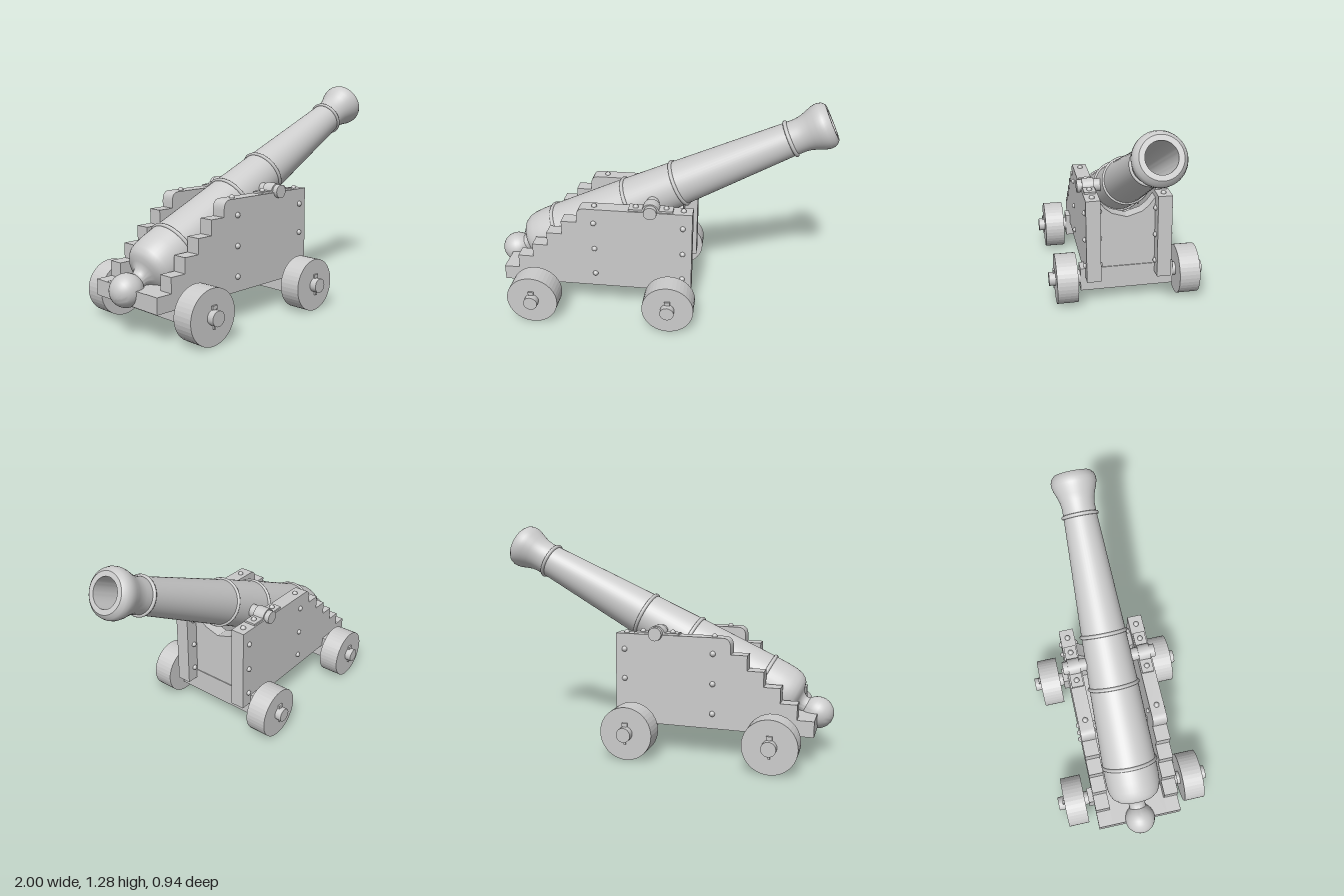
import * as THREE from 'three';
import { toCreasedNormals } from 'three/addons/utils/BufferGeometryUtils.js';

const material = new THREE.MeshStandardMaterial({ color: 0xcccccc });
const flat = new THREE.MeshStandardMaterial({ color: 0xcccccc, flatShading: true });

function add(parent, name, geometry, x = 0, y = 0, z = 0, mat = material) {
  const mesh = new THREE.Mesh(geometry, mat);
  mesh.name = name;
  mesh.position.set(x, y, z);
  parent.add(mesh);
  return mesh;
}

// Cylinder lying along z
const rod = (r, length, sides) => new THREE.CylinderGeometry(r, r, length, sides).rotateX(Math.PI / 2);

// Outline in the xy plane, extruded from z0 by depth
function slab(shape, z0, depth) {
  const g = new THREE.ExtrudeGeometry(shape, { depth, bevelEnabled: false, curveSegments: 6 });
  return toCreasedNormals(g.translate(0, 0, z0), 0.5);
}

function makeBarrel() {
  const barrel = new THREE.Group();
  barrel.name = 'barrel';
  const points = [];
  // Rear knob
  for (let i = 0; i <= 12; i++) {
    const a = (i / 12) * 2.55;
    points.push([0.09 * Math.sin(a), -0.99 - 0.09 * Math.cos(a)]);
  }
  // Neck, breech, tapering tube, flared muzzle and bore
  points.push(
    [0.048, -0.895], [0.06, -0.875], [0.09, -0.86], [0.118, -0.852], [0.138, -0.835],
    [0.152, -0.81], [0.16, -0.775], [0.163, -0.72], [0.162, -0.63], [0.146, -0.155],
    [0.132, 0.157], [0.097, 0.85], [0.096, 0.9], [0.1, 0.935], [0.111, 0.97], [0.125, 1.005],
    [0.131, 1.03], [0.131, 1.05], [0.124, 1.072], [0.105, 1.09], [0.078, 1.09], [0.078, 0.2], [0, 0.2]
  );
  points[0][0] = 0;
  const profile = points.map(([r, s]) => new THREE.Vector2(r, s));
  add(barrel, 'tube', toCreasedNormals(new THREE.LatheGeometry(profile, 48), 0.7));
  // Reinforcing rings
  for (const [s, r] of [[-0.634, 0.161], [-0.155, 0.146], [0.157, 0.132], [0.85, 0.098]]) {
    add(barrel, 'ring', new THREE.TorusGeometry(r, 0.011, 8, 48).rotateX(Math.PI / 2), 0, s);
  }
  barrel.position.set(-0.03, 0.69, 0);
  barrel.rotation.z = THREE.MathUtils.degToRad(26.7) - Math.PI / 2;
  return barrel;
}

function cheekShape() {
  const s = new THREE.Shape();
  s.moveTo(-0.92, 0.17);
  s.lineTo(0.21, 0.17);
  s.lineTo(0.21, 0.685);
  s.lineTo(-0.415, 0.685);
  s.quadraticCurveTo(-0.46, 0.685, -0.46, 0.63);
  // Steps down to the rear
  for (let i = 0; i < 5; i++) {
    const y = 0.595 - i * 0.084;
    s.lineTo(-0.46 - i * 0.092, y);
    s.lineTo(-0.46 - (i + 1) * 0.092, y);
  }
  s.closePath();
  return s;
}

// Half-round strap over the trunnion
function capShape() {
  const s = new THREE.Shape();
  s.moveTo(0.05, 0);
  s.absarc(0, 0, 0.05, 0, Math.PI, false);
  s.lineTo(-0.036, 0);
  s.absarc(0, 0, 0.036, Math.PI, 0, true);
  s.closePath();
  return s;
}

export function createModel() {
  const model = new THREE.Group();
  model.name = 'cannon';
  model.add(makeBarrel());
  add(model, 'trunnion', rod(0.038, 0.55, 24), -0.03, 0.69, 0);

  const bolt = new THREE.SphereGeometry(0.016, 12, 8);
  for (const side of [1, -1]) {
    // Stepped side cheek
    add(model, 'cheek', slab(cheekShape(), side > 0 ? 0.168 : -0.253, 0.085));

    // Trunnion strap with its two feet
    add(model, 'trunnionCap', slab(capShape(), -0.035, 0.07), -0.03, 0.685, side * 0.21);
    for (const x of [-0.118, 0.058]) {
      add(model, 'capFoot', new THREE.BoxGeometry(0.08, 0.012, 0.07), x, 0.69, side * 0.21);
      add(model, 'capBolt', bolt, x, 0.697, side * 0.21);
    }

    // Cheek bolts
    for (const x of [-0.36, 0.157]) {
      add(model, 'topBolt', bolt, x, 0.686, side * 0.21);
      for (const y of [0.595, 0.425, 0.255]) {
        for (const z of [0.168, 0.253]) add(model, 'sideBolt', bolt, x, y, side * z);
      }
    }
  }

  // Floor between the cheeks
  add(model, 'floor', new THREE.BoxGeometry(1.05, 0.088, 0.336), -0.395, 0.214, 0);

  // Front crosspiece with a hollow for the barrel
  const t = new THREE.Shape();
  const hollow = [[0.168, 0.65], [0.13, 0.6], [0.09, 0.568], [0, 0.54], [-0.09, 0.568], [-0.13, 0.6], [-0.168, 0.65]];
  t.moveTo(-0.168, 0.17);
  t.lineTo(0.168, 0.17);
  for (const [x, y] of hollow) t.lineTo(x, y);
  t.closePath();
  add(model, 'transom', slab(t, 0, 0.08).rotateY(Math.PI / 2), 0.05);

  // Axles and wheels
  for (const x of [-0.71, 0.09]) {
    add(model, 'axleBeam', new THREE.BoxGeometry(0.09, 0.145, 0.565), x, 0.1525, 0);
    add(model, 'axle', rod(0.041, 0.938, 20), x, 0.152, 0);
    for (const side of [1, -1]) {
      add(model, 'wheel', rod(0.15, 0.125, 40), x, 0.15, side * 0.367, flat);
      add(model, 'linchpin', new THREE.BoxGeometry(0.012, 0.12, 0.01), x, 0.152, side * 0.438);
      add(model, 'linchpinHead', new THREE.BoxGeometry(0.032, 0.02, 0.01), x, 0.204, side * 0.438);
    }
  }
  return model;
}
